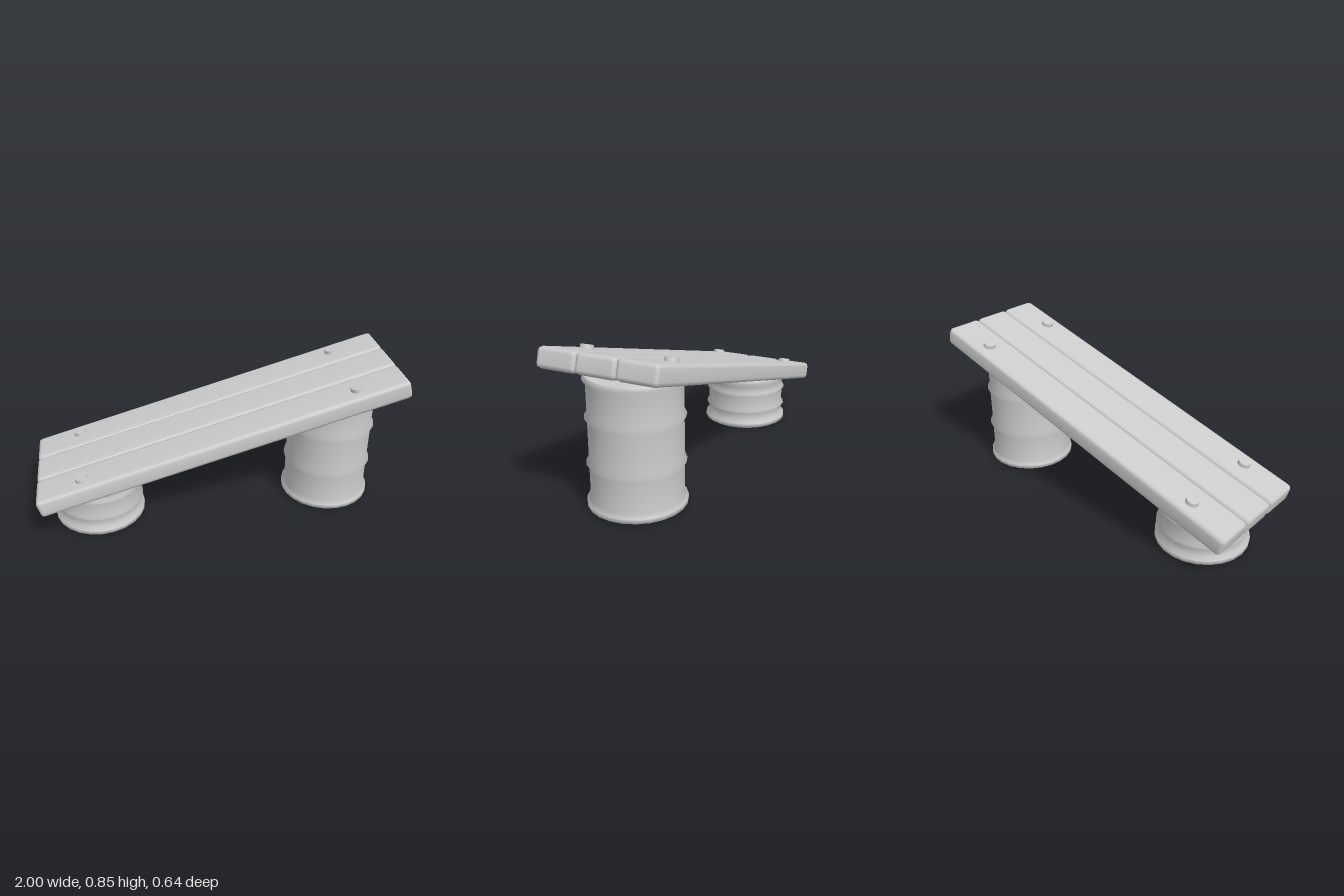
import * as THREE from 'three';
import { RoundedBoxGeometry } from 'three/addons/geometries/RoundedBoxGeometry.js';
import { mergeVertices } from 'three/addons/utils/BufferGeometryUtils.js';

const paleGrey = new THREE.MeshStandardMaterial({ color: 0xcccccc });
paleGrey.name = 'paleGrey';

function mesh(name, geometry, parent) {
  const m = new THREE.Mesh(geometry, paleGrey);
  m.name = name;
  parent.add(m);
  return m;
}

// Chamfered box shaded smoothly across its bevels
function softBox(w, h, d, bevel) {
  const g = new RoundedBoxGeometry(w, h, d, 1, bevel);
  g.deleteAttribute('normal');
  g.deleteAttribute('uv');
  const merged = mergeVertices(g, 1e-4);
  merged.computeVertexNormals();
  return merged;
}

// Standing drum with rolled rims and two raised hoops
function barrel(name, x, height, hoopHalf, parent) {
  const group = new THREE.Group();
  group.name = name;
  group.position.x = x;
  parent.add(group);
  const body = 0.237, hoop = 0.25, rim = 0.255;
  const profile = [[0.228, 0], [rim, 0.014], [rim, 0.038], [body, 0.055]];
  for (const f of [0.345, 0.69]) {
    const y = f * height;
    profile.push([body, y - hoopHalf], [hoop, y], [body, y + hoopHalf]);
  }
  profile.push([body, height - 0.045], [0.253, height - 0.02], [0.24, height]);
  const points = profile.map(([r, y]) => new THREE.Vector2(r, y));
  mesh('barrelWall', new THREE.LatheGeometry(points, 24), group);
  const bottom = mesh('barrelBottom', new THREE.CircleGeometry(0.228, 24), group);
  bottom.rotation.x = Math.PI / 2;
  const top = mesh('barrelTop', new THREE.CircleGeometry(0.24, 24), group);
  top.rotation.x = -Math.PI / 2;
  top.position.y = height;
}

export function createModel() {
  const model = new THREE.Group();
  model.name = 'plankRamp';

  // Supports: tall on the high end, short on the low end
  barrel('tallBarrel', 0.67, 0.69, 0.02, model);
  barrel('shortBarrel', -0.675, 0.32, 0.01, model);

  // Sloping deck of three planks
  const deck = new THREE.Group();
  deck.name = 'deck';
  deck.position.y = 0.536;
  deck.rotation.z = THREE.MathUtils.degToRad(15.2);
  model.add(deck);
  const plank = softBox(2.056, 0.103, 0.213, 0.022);
  for (const i of [-1, 0, 1]) mesh('plank', plank, deck).position.z = i * 0.213;

  // Bolt heads on the outer planks
  const bolt = new THREE.CylinderGeometry(0.033, 0.037, 0.03, 16);
  for (const x of [-0.767, 0.762])
    for (const z of [-0.232, 0.232])
      mesh('boltHead', bolt, deck).position.set(x, 0.056, z);

  return model;
}
